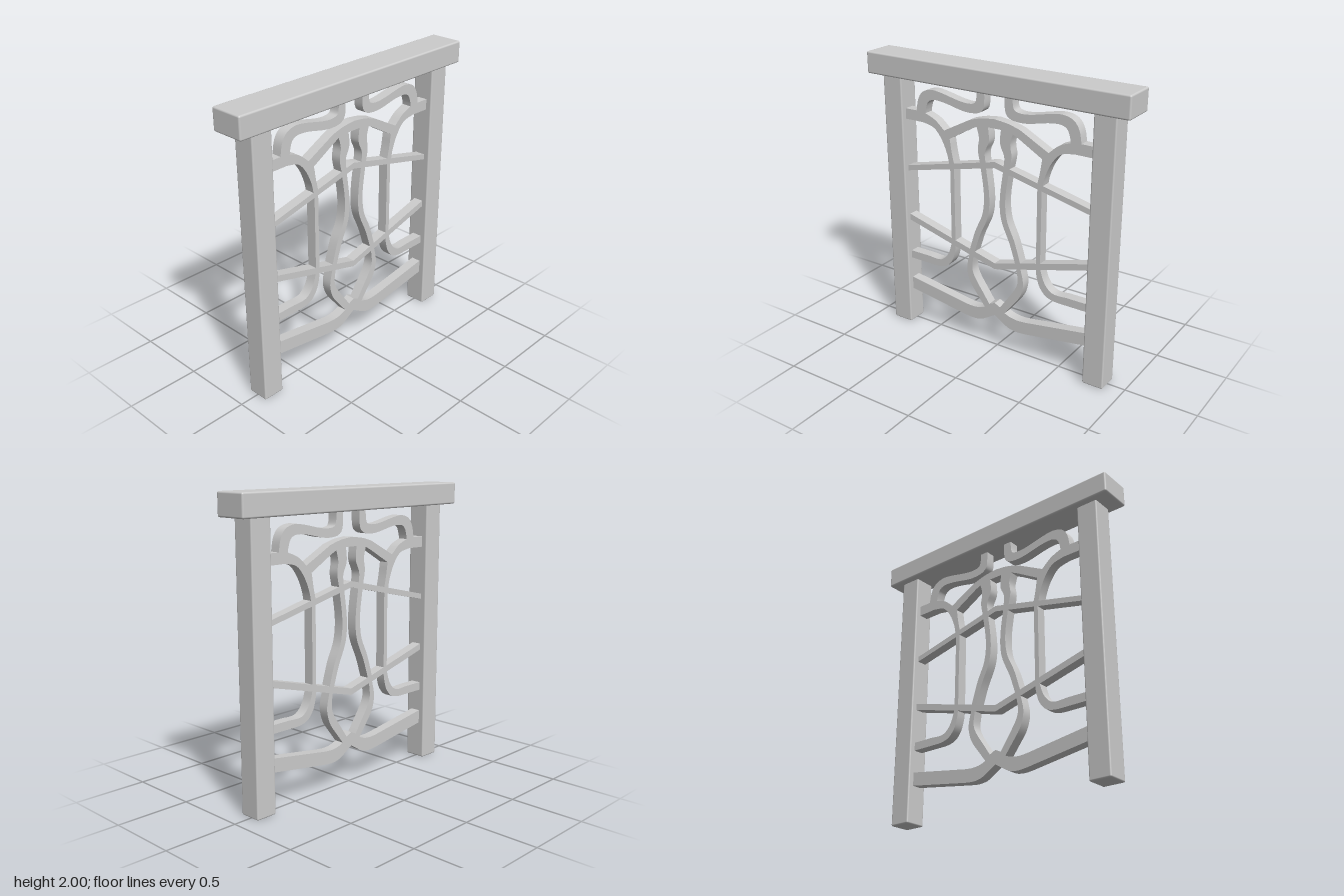
import * as THREE from 'three';
import { toCreasedNormals } from 'three/addons/utils/BufferGeometryUtils.js';
import { RoundedBoxGeometry } from 'three/addons/geometries/RoundedBoxGeometry.js';

const material = new THREE.MeshStandardMaterial({ color: 0xcccccc });
const SIDE = 0.74; // openings run slightly into the posts

// Edges of the two chevron bars at distance u from the centre line
const lowUnder = u => [u, 0.618 + 0.268 * u];
const lowTop = u => [u, 0.663 + 0.268 * u];
const highUnder = u => [u, 1.348 - 0.229 * u];
const highTop = u => [u, 1.39 - 0.235 * u];

// Each run becomes a smooth curve; corners stay sharp where runs meet
function trace(runs) {
  return runs.flatMap(run => {
    const pts = run.map(([x, y]) => new THREE.Vector2(x, y));
    return pts.length < 3 ? pts : new THREE.SplineCurve(pts).getPoints((pts.length - 1) * 4);
  });
}
const mirror = pts => pts.map(p => new THREE.Vector2(-p.x, p.y)).reverse();

// Openings that occur on both sides
const sideOpenings = [
  // above the bottom band
  [[[SIDE, 0.357], [0.262, 0.283]],
    [[0.255, 0.282], [0.19, 0.277], [0.13, 0.284], [0.082, 0.302]],
    [[0.09, 0.312], [0.135, 0.37], [0.195, 0.45], [0.222, 0.52], [0.227, 0.585], lowUnder(0.207)],
    [lowUnder(0.325), [0.334, 0.65], [0.357, 0.585], [0.405, 0.532], [0.473, 0.512], [0.56, 0.51]],
    [[SIDE, 0.51]]],
  // between lower scroll and lower chevron
  [[[SIDE, 0.567]],
    [[0.56, 0.567], [0.47, 0.564], [0.42, 0.59], [0.383, 0.643], lowUnder(0.36)],
    [lowUnder(SIDE)]],
  // outer middle
  [[lowTop(0.357), lowTop(SIDE)], [highUnder(SIDE), highUnder(0.357)]],
  // inner middle
  [[lowTop(0.325), highUnder(0.325)],
    [highUnder(0.108), [0.087, 1.184], [0.085, 1.08], [0.103, 0.983], [0.156, 0.866], lowTop(0.203)]],
  // under the arch
  [[highTop(0.114), [0.13, 1.45], [0.12, 1.53], [0.138, 1.602]],
    [[0.18, 1.582], [0.357, 1.48]],
    [[0.352, 1.455], [0.342, 1.39], highTop(0.325)]],
  // under the shoulder
  [[highTop(SIDE), [SIDE, 1.556]],
    [[0.58, 1.557], [0.484, 1.534], [0.42, 1.46], [0.38, 1.37], highTop(0.365)]],
  // above the upper scroll
  [[[SIDE, 1.87], [SIDE, 1.63]],
    [[0.626, 1.63], [0.61, 1.71], [0.57, 1.767], [0.5, 1.79], [0.42, 1.783], [0.26, 1.75],
      [0.17, 1.75], [0.14, 1.78], [0.135, 1.87]]],
];

// Right halves of the openings on the centre line, listed from bottom to top
const centreOpenings = [
  // lower bulb
  [[[0, 0.357], [0.045, 0.336]],
    [[0.092, 0.405], [0.161, 0.506], [0.185, 0.575], lowUnder(0.175)],
    [lowUnder(0)]],
  // waist
  [[lowTop(0)],
    [lowTop(0.163), [0.119, 0.84], [0.061, 0.97], [0.042, 1.068], [0.045, 1.184], highUnder(0.066)],
    [highUnder(0)]],
  // neck
  [[highTop(0)], [highTop(0.07), [0.075, 1.44], [0.046, 1.51], [0.043, 1.56], [0.05, 1.615]]],
  // between arch and upper scrolls
  [[[0, 1.677], [0.1, 1.665], [0.19, 1.64]],
    [[0.4, 1.53]],
    [[0.41, 1.538], [0.473, 1.59], [0.553, 1.623]],
    [[0.55, 1.645], [0.53, 1.7], [0.484, 1.725], [0.394, 1.72], [0.26, 1.692], [0.18, 1.687],
      [0.115, 1.7], [0.08, 1.745], [0.077, 1.87]]],
];

function buildPanel() {
  // Outline: wavy bottom edge, with the other edges hidden in posts and rail
  const bottom = trace([
    [[0, 0.262], [0.08, 0.213]],
    [[0.09, 0.207], [0.13, 0.191], [0.19, 0.185], [0.255, 0.191]],
    [[0.78, 0.27], [0.78, 1.92]],
  ]);
  const shape = new THREE.Shape([...bottom, ...mirror(bottom)]);
  for (const runs of sideOpenings) {
    const pts = trace(runs);
    shape.holes.push(new THREE.Path(pts), new THREE.Path(mirror(pts)));
  }
  for (const runs of centreOpenings) {
    const pts = trace(runs);
    const other = mirror(pts).filter(p => Math.abs(p.x) > 1e-6);
    shape.holes.push(new THREE.Path([...pts, ...other]));
  }
  const depth = 0.07;
  const geo = new THREE.ExtrudeGeometry(shape, { depth, bevelEnabled: false });
  geo.translate(0, 0, -depth / 2);
  return toCreasedNormals(geo, 0.5);
}

export function createModel() {
  const model = new THREE.Group();
  const add = (name, geometry, x, y, z) => {
    const mesh = new THREE.Mesh(geometry, material);
    mesh.name = name;
    mesh.position.set(x, y, z);
    model.add(mesh);
  };
  const centreX = 0.005, centreZ = 0.007;

  add('topRail', new RoundedBoxGeometry(1.945, 0.15, 0.232, 2, 0.012), 0, 1.925, 0);
  for (const side of [-1, 1]) {
    add(side > 0 ? 'leftPost' : 'rightPost', new RoundedBoxGeometry(0.151, 1.88, 0.151, 2, 0.01),
      centreX + side * 0.795, 0.94, centreZ);
  }
  add('openworkPanel', buildPanel(), centreX, 0, centreZ);
  return model;
}
